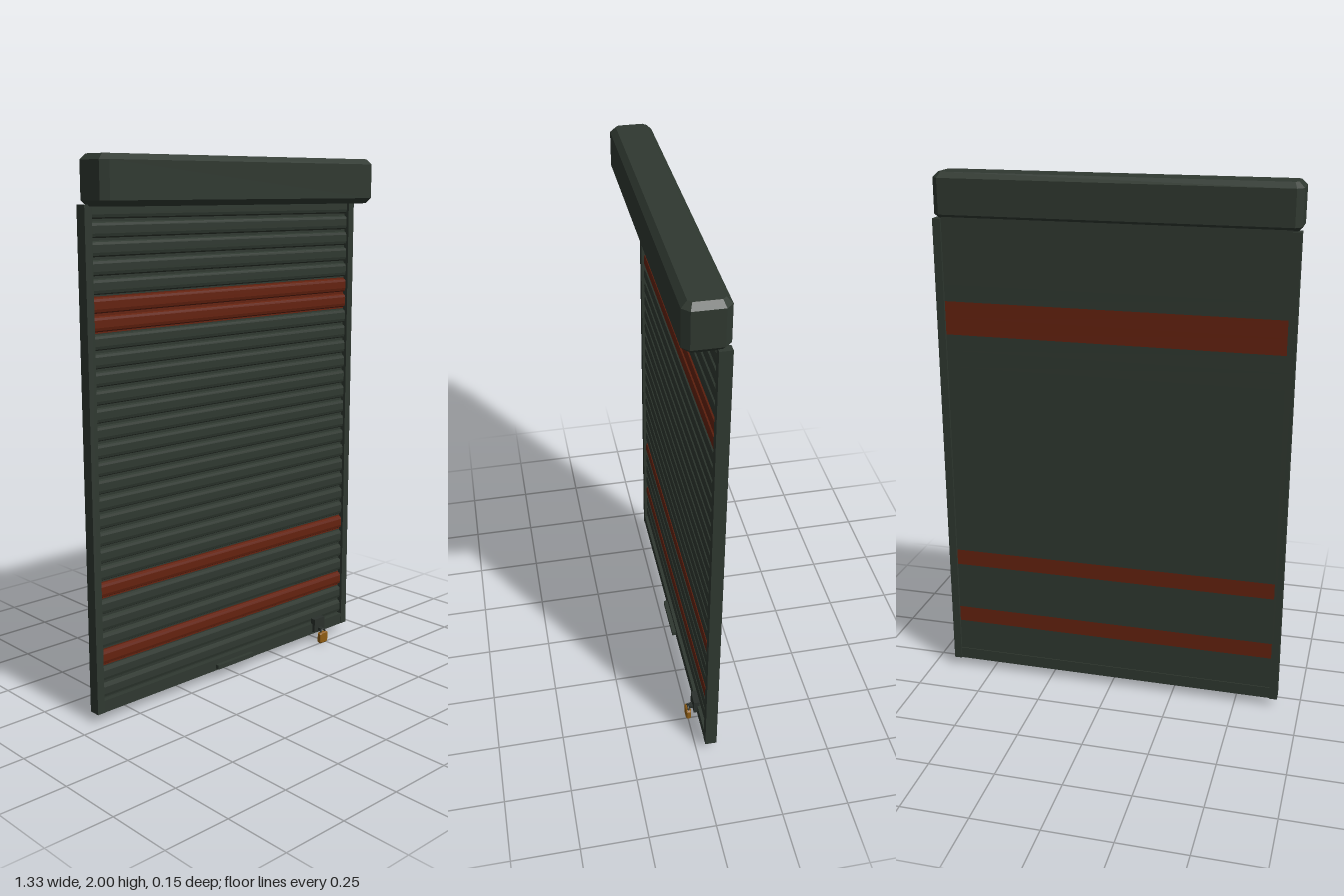
import * as THREE from 'three';

const paint = (name, color) => {
  const m = new THREE.MeshStandardMaterial({ color });
  m.name = name;
  return m;
};

export function createModel() {
  const group = new THREE.Group();
  const green = paint('dark green metal', 0x2f3830);
  const rust = paint('rust orange slat', 0x64220f);
  const brass = paint('brass', 0x8f5c12);
  const steel = paint('dark steel', 0x2a302c);

  const add = (name, geometry, material, x = 0, y = 0, z = 0) => {
    const mesh = new THREE.Mesh(geometry, material);
    mesh.name = name;
    mesh.position.set(x, y, z);
    group.add(mesh);
    return mesh;
  };
  // box given by its lower and upper corners
  const block = (name, material, [x0, y0, z0], [x1, y1, z1]) =>
    add(name, new THREE.BoxGeometry(x1 - x0, y1 - y0, z1 - z0), material,
      (x0 + x1) / 2, (y0 + y1) / 2, (z0 + z1) / 2);
  // rectangle with cut corners
  const cutRect = (w, h, c) => new THREE.Shape([
    [-w + c, -h], [w - c, -h], [w, -h + c], [w, h - c],
    [w - c, h], [-w + c, h], [-w, h - c], [-w, -h + c],
  ].map(p => new THREE.Vector2(...p)));

  // roller housing: cut-corner outline with chamfered top and bottom
  const bevel = 0.02;
  const housing = new THREE.ExtrudeGeometry(cutRect(0.665, 0.077, 0.024), {
    depth: 0.17 - 2 * bevel, bevelEnabled: true, bevelSegments: 1,
    bevelSize: bevel, bevelThickness: bevel, bevelOffset: -bevel,
  });
  housing.rotateX(-Math.PI / 2);
  add('housing', housing, green, 0, 1.83 + bevel, 0);

  // guide rails
  for (const s of [-1, 1]) {
    const rail = block('guideRail', green, [-0.015, 0.035, -0.077], [0.015, 1.836, -0.033]);
    rail.position.x = s * 0.65;
  }

  // slats: flat back, bulged front with a groove between neighbours
  const pitch = 0.0631;
  const profile = new THREE.Shape([
    [-0.068, 0], [-0.055, 0], [-0.055, 0.005], [-0.046, 0.01], [-0.043, 0.02],
    [-0.043, 0.046], [-0.046, 0.055], [-0.055, 0.059], [-0.055, pitch], [-0.068, pitch],
  ].map(p => new THREE.Vector2(...p)));
  const slat = new THREE.ExtrudeGeometry(profile, { depth: 1.27, bevelEnabled: false });
  slat.rotateY(-Math.PI / 2).translate(0.635, 0, 0);
  const painted = [2, 6, 21, 22];
  for (let i = 0; i < 28; i++) {
    add('slat', slat, painted.includes(i) ? rust : green, 0, 0.08 + i * pitch, 0);
  }

  // bottom bar and its pull handle
  block('bottomBar', green, [-0.635, 0.035, -0.072], [0.635, 0.08, -0.034]);
  block('pullHandle', green, [-0.095, 0.043, -0.034], [0.095, 0.06, -0.018]);

  // hasp with padlock
  block('haspPlate', steel, [0.455, 0.045, -0.043], [0.515, 0.102, -0.02]);
  block('haspStaple', steel, [0.475, 0.05, -0.021], [0.495, 0.062, -0.006]);
  const lock = new THREE.ExtrudeGeometry(cutRect(0.023, 0.0235, 0.006), {
    depth: 0.012, bevelEnabled: true, bevelSegments: 1,
    bevelSize: 0.004, bevelThickness: 0.004, bevelOffset: -0.004,
  });
  add('padlockBody', lock, brass, 0.485, 0.0235, -0.008);
  add('padlockShackle', new THREE.TorusGeometry(0.013, 0.004, 6, 12, Math.PI), steel, 0.485, 0.045, -0.002);

  return group;
}
